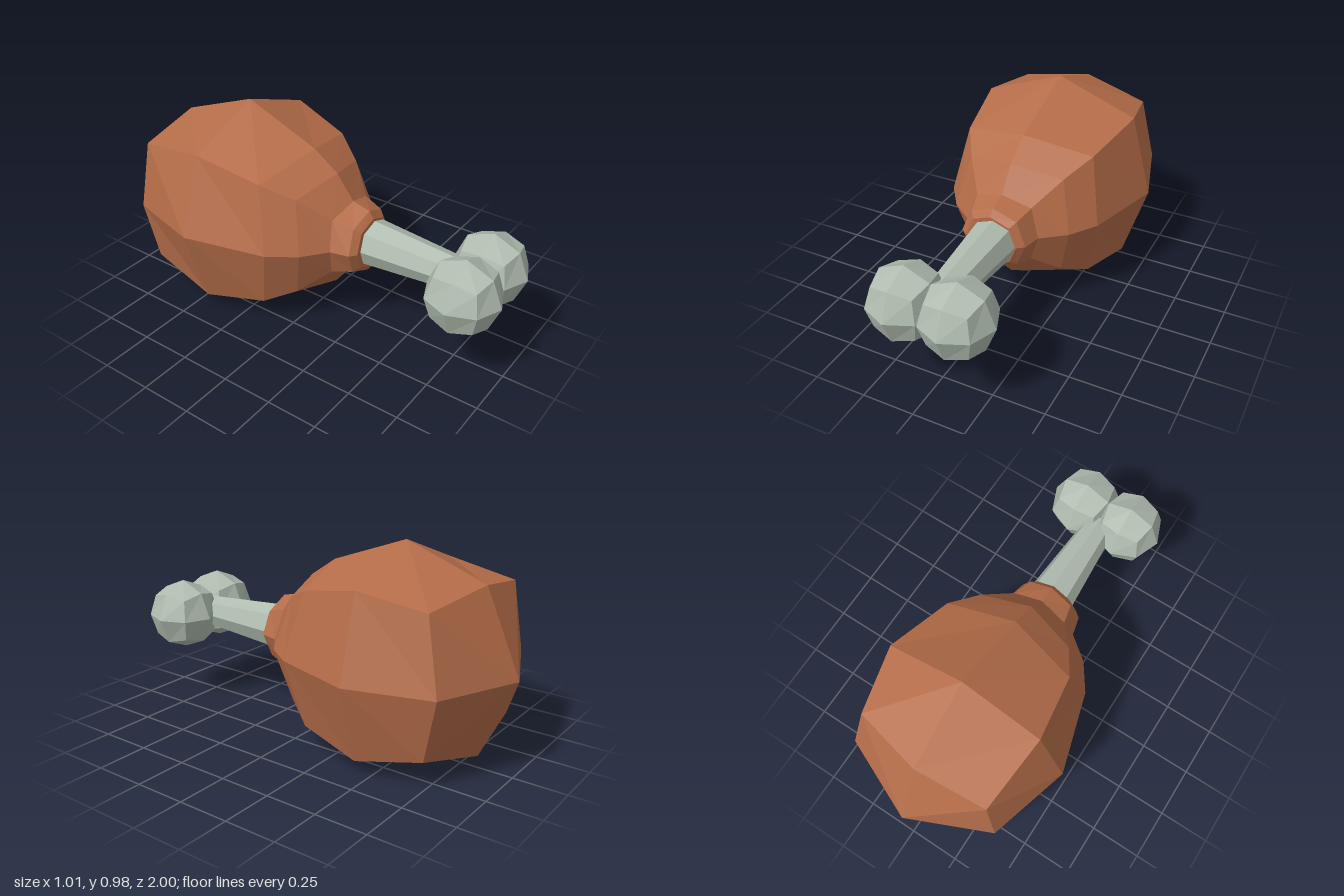
import * as THREE from 'three';

const CENTER_Y = 0.45;

const meatColor = new THREE.MeshStandardMaterial({ color: 0xb56d49, flatShading: true });
meatColor.name = 'roasted brown';
const boneColor = new THREE.MeshStandardMaterial({ color: 0xb0bcb0, flatShading: true });
boneColor.name = 'bone grey';

// Eight-sided cross-section: points on the axes at z, diagonal corners at cornerZ
function ring({ z, cornerZ, leanZ = 0, side, top, bottom, cx, cTop, cBottom }) {
  return [
    [side, 0, z], [cx, cTop, cornerZ], [0, top, z], [-cx, cTop, cornerZ - leanZ],
    [-side, 0, z], [-cx, -cBottom, cornerZ - leanZ], [0, -bottom, z], [cx, -cBottom, cornerZ],
  ];
}

// Skin between the rings, closed with a pointed or flat fan at each end
function loft(rings, backTip, frontTip) {
  const n = rings[0].length;
  const pos = [];
  const tri = (a, b, c) => pos.push(...a, ...b, ...c);
  for (let k = 0; k < n; k++) {
    const m = (k + 1) % n;
    tri(backTip, rings[0][m], rings[0][k]);
    for (let i = 0; i < rings.length - 1; i++) {
      const a = rings[i], b = rings[i + 1];
      tri(a[k], a[m], b[m]);
      tri(a[k], b[m], b[k]);
    }
    const last = rings[rings.length - 1];
    tri(frontTip, last[k], last[m]);
  }
  const geo = new THREE.BufferGeometry();
  geo.setAttribute('position', new THREE.Float32BufferAttribute(pos, 3));
  geo.computeVertexNormals();
  return geo;
}

// Cube divided in two along each side and rounded into a faceted ball
function facetedBall(radius) {
  const geo = new THREE.BoxGeometry(2, 2, 2, 2, 2, 2);
  const p = geo.attributes.position;
  const v = new THREE.Vector3();
  for (let i = 0; i < p.count; i++) {
    v.fromBufferAttribute(p, i).setLength(radius);
    p.setXYZ(i, v.x, v.y, v.z);
  }
  geo.computeVertexNormals();
  return geo;
}

export function createModel() {
  const model = new THREE.Group();
  model.name = 'drumstick';
  const add = (name, geo, mat, x, y, z) => {
    const mesh = new THREE.Mesh(geo, mat);
    mesh.name = name;
    mesh.position.set(x, y, z);
    model.add(mesh);
    return mesh;
  };

  // Meat: slightly uneven at its widest, narrowing to a collar at the front
  const widest = [
    [0.505, 0], [0.4, 0.39], [0.01, 0.535], [-0.375, 0.39],
    [-0.505, 0.015], [-0.375, -0.39], [-0.03, -0.445], [0.39, -0.375],
  ].map(([x, y]) => [x, y, -0.44]);
  const rings = [
    ring({ z: -0.83, cornerZ: -0.75, leanZ: 0.05, side: 0.39, top: 0.39, bottom: 0.39, cx: 0.34, cTop: 0.335, cBottom: 0.31 }),
    widest,
    ring({ z: -0.05, cornerZ: -0.12, side: 0.39, top: 0.39, bottom: 0.39, cx: 0.325, cTop: 0.32, cBottom: 0.32 }),
    ring({ z: 0.08, cornerZ: 0.02, side: 0.3, top: 0.3, bottom: 0.3, cx: 0.24, cTop: 0.25, cBottom: 0.25 }),
    ring({ z: 0.17, cornerZ: 0.15, side: 0.185, top: 0.185, bottom: 0.185, cx: 0.14, cTop: 0.14, cBottom: 0.14 }),
    ring({ z: 0.26, cornerZ: 0.25, side: 0.163, top: 0.163, bottom: 0.163, cx: 0.115, cTop: 0.115, cBottom: 0.115 }),
    ring({ z: 0.285, cornerZ: 0.28, side: 0.13, top: 0.13, bottom: 0.13, cx: 0.092, cTop: 0.092, cBottom: 0.092 }),
  ];
  add('meat', loft(rings, [0, 0, -1], [0, 0, 0.28]), meatColor, 0, CENTER_Y, 0);

  // Bone shaft, tapering toward the knobs
  const shaft = new THREE.CylinderGeometry(0.078, 0.116, 0.5, 8);
  shaft.rotateX(Math.PI / 2);
  add('boneShaft', shaft, boneColor, 0.01, CENTER_Y, 0.5);

  // Two knobs meeting along a shared waist
  for (const [name, x] of [['leftKnob', 0.14], ['rightKnob', -0.112]]) {
    add(name, facetedBall(0.179), boneColor, x, CENTER_Y, 0.82).scale.x = 0.97;
  }
  return model;
}
